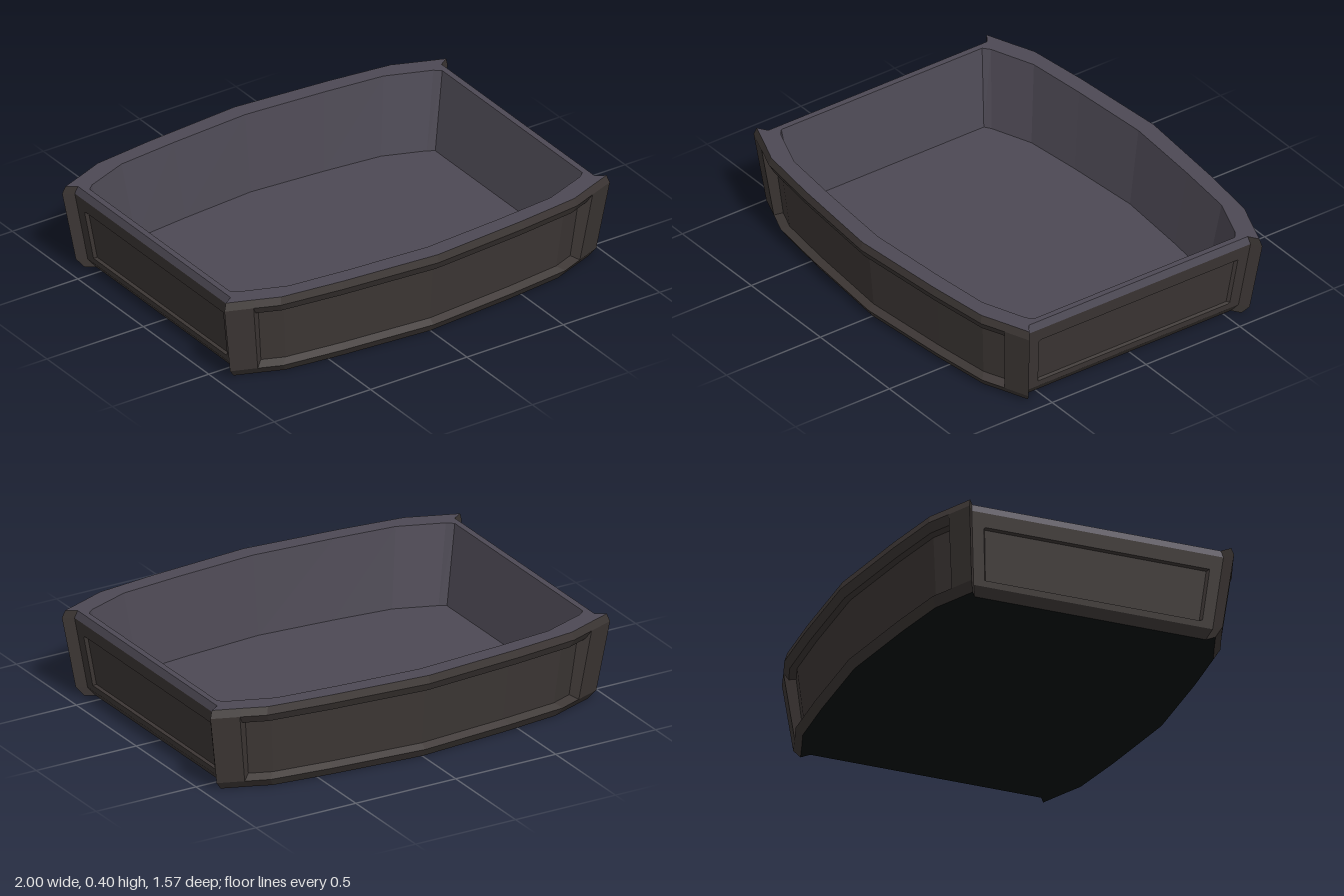
import * as THREE from 'three';

const frameMat = new THREE.MeshStandardMaterial({ color: 0x3d3735 });
const liningMat = new THREE.MeshStandardMaterial({ color: 0x4d4954 });
const undersideMat = new THREE.MeshStandardMaterial({ color: 0x061010 });
frameMat.name = 'dark brown frame';
liningMat.name = 'slate lining';
undersideMat.name = 'black underside';

// Flat-shaded sheet from rows of points: rows rise, columns run rightwards
function sheet(rows) {
  const pos = [];
  for (let i = 0; i < rows.length - 1; i++) {
    for (let j = 0; j < rows[i].length - 1; j++) {
      const a = rows[i][j], b = rows[i][j + 1], c = rows[i + 1][j + 1], d = rows[i + 1][j];
      pos.push(...a, ...b, ...c, ...a, ...c, ...d);
    }
  }
  const geo = new THREE.BufferGeometry();
  geo.setAttribute('position', new THREE.Float32BufferAttribute(pos, 3));
  geo.computeVertexNormals();
  return geo;
}

function part(name, geo, mat, parent) {
  const mesh = new THREE.Mesh(geo, mat);
  mesh.name = name;
  parent.add(mesh);
  return mesh;
}

// Mirror a right-hand list of [x, z] (outer end first, centre last) into a left-to-right run
const run = half => [
  ...half.map(([x, z]) => [-x, z]),
  ...half.slice(0, -1).reverse(),
];
// Closed clockwise loop seen from above: back edge left to right, front edge right to left
const loop = half => [
  ...run(half).map(([x, z]) => [x, -z]),
  ...run(half).reverse(),
];

// Plan of the widest level; the other levels scale from it
const OUTER = [[0.955, 0.59], [1, 0.62], [0.88, 0.666], [0.77, 0.71], [0.47, 0.746], [0, 0.785]];
const INNER_TOP = [[0.915, 0.535], [0.885, 0.56], [0.68, 0.638], [0.39, 0.667], [0, 0.695]];
const INNER_FLOOR = [[0.855, 0.5], [0.825, 0.52], [0.635, 0.592], [0.36, 0.622], [0, 0.65]];
const FLOOR_Y = 0.04, TOP_Y = 0.4, RIM_Y = 0.365;
const FOOT = 0.918, TOP = 0.988;

// Scale of the tapering wall at height y
function wall(y) {
  if (y < 0.04) return FOOT + (0.95 - FOOT) * y / 0.04;
  if (y > RIM_Y) return 1 - (1 - TOP) * (y - RIM_Y) / (TOP_Y - RIM_Y);
  return 0.95 + 0.05 * (y - 0.04) / (RIM_Y - 0.04);
}

// Flat horizontal face; shape y becomes -z so that it faces up
function flat(points, y, hole) {
  const v = pts => pts.map(([x, z]) => new THREE.Vector2(x, -z));
  const shape = new THREE.Shape(v(points));
  if (hole) shape.holes.push(new THREE.Path(v(hole)));
  return new THREE.ShapeGeometry(shape).rotateX(-Math.PI / 2).translate(0, y, 0);
}

const scaled = (pts, s) => pts.map(([x, z]) => [x * s, z * s]);

// Bowed wall with corner posts and a deep recessed panel
function bowedWall() {
  const cols = run(OUTER);
  // height, scale between the posts
  const levels = [[0, FOOT], [0.04, 0.95], [0.06, 0.912], [0.32, 0.943], [0.327, 0.976], [RIM_Y, 1], [TOP_Y, TOP]];
  // The post edge is doubled so the panel can step in from it
  const columns = [];
  cols.forEach((p, i) => {
    const fromEnd = Math.min(i, cols.length - 1 - i);
    if (fromEnd === 2) {
      const pair = [{ p, post: true }, { p, post: false }];
      columns.push(...(i === 2 ? pair : pair.reverse()));
    } else columns.push({ p, post: fromEnd < 2 });
  });
  return sheet(levels.map(([y, panel]) => columns.map(({ p, post }) => {
    const s = post ? wall(y) : panel;
    return [p[0] * s, y, p[1] * s];
  })));
}

// Straight wall with a shallow recessed panel
function straightWall() {
  const zs = [0.59, 0.535, 0.525, -0.525, -0.535, -0.59];
  const ys = [0, 0.04, 0.068, 0.074, 0.296, 0.302, RIM_Y];
  return sheet(ys.map((y, i) => zs.map((z, j) => {
    const sunk = (i === 3 || i === 4) && (j === 2 || j === 3) ? 0.014 : 0;
    return [0.955 * wall(y) - sunk, y, z * wall(y)];
  })));
}

// Upper edge of the straight wall
function sideRim() {
  return sheet([RIM_Y, TOP_Y].map(y => [0.59, -0.59].map(z => [0.955 * wall(y), y, z * wall(y)])));
}

export function createModel() {
  const tray = new THREE.Group();
  tray.name = 'tray';

  // Outer walls, each pair by half a turn
  for (const [i, names] of [['front', 'left'], ['back', 'right']].entries()) {
    const half = new THREE.Group();
    half.name = `${names[0]}And${names[1]}Walls`;
    half.rotation.y = i * Math.PI;
    part(`${names[0]}Wall`, bowedWall(), frameMat, half);
    part(`${names[1]}Wall`, straightWall(), frameMat, half);
    part(`${names[1]}RimEdge`, sideRim(), liningMat, half);
    tray.add(half);
  }

  // Rim top
  const outer = loop(OUTER);
  part('rimTop', flat(scaled(outer, TOP), TOP_Y, loop(INNER_TOP)), liningMat, tray);

  // Inner walls and floor
  const ring = (half, y) => {
    const pts = loop(half).map(([x, z]) => [x, y, z]);
    return [...pts, pts[0]];
  };
  part('innerWalls', sheet([ring(INNER_FLOOR, FLOOR_Y), ring(INNER_TOP, TOP_Y)]), liningMat, tray);
  part('floor', flat(loop(INNER_FLOOR), FLOOR_Y), liningMat, tray);

  // Underside, turned over to face down
  part('underside', flat(scaled(outer, FOOT), 0).rotateX(Math.PI), undersideMat, tray);

  return tray;
}
